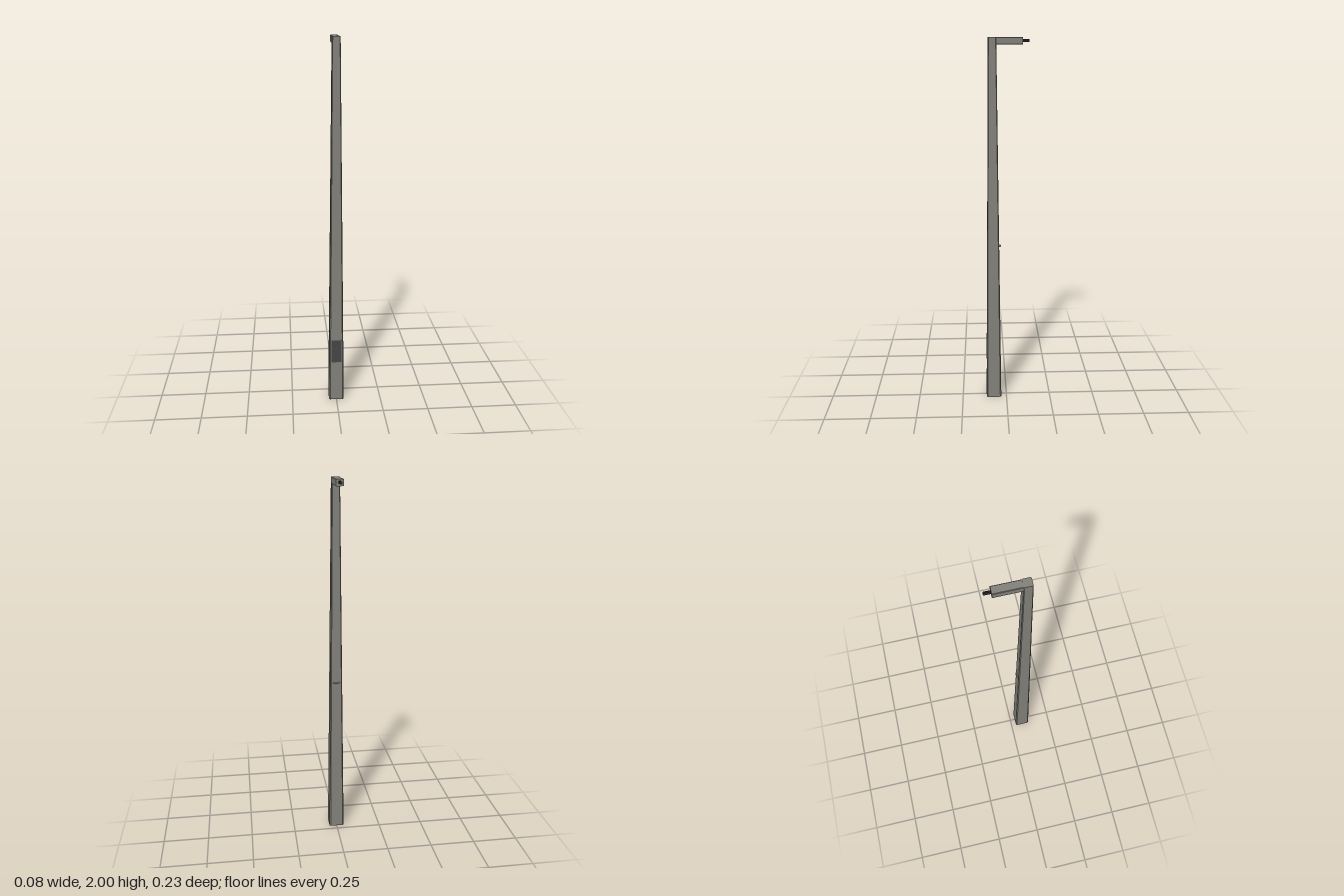
import * as THREE from 'three';

const material = (color) => new THREE.MeshStandardMaterial({ color, flatShading: true });

// Square bar with chamfered edges standing on y = 0, tapering from half-width a to b
function chamferedBar(a, b, chamfer, height) {
  const k = 1 - chamfer;
  const shape = new THREE.Shape(
    [[1, -k], [1, k], [k, 1], [-k, 1], [-1, k], [-1, -k], [-k, -1], [k, -1]]
      .map(([x, y]) => new THREE.Vector2(x, y))
  );
  const geo = new THREE.ExtrudeGeometry(shape, { depth: height, bevelEnabled: false });
  geo.rotateX(-Math.PI / 2);
  const p = geo.attributes.position;
  for (let i = 0; i < p.count; i++) {
    const s = THREE.MathUtils.lerp(a, b, p.getY(i) / height);
    p.setXYZ(i, p.getX(i) * s, p.getY(i), p.getZ(i) * s);
  }
  geo.computeVertexNormals();
  return geo;
}

export function createModel() {
  const group = new THREE.Group();
  const metal = material(0x83817a);
  const dark = material(0x2a2a2c);
  const base = 0.042, top = 0.021, poleZ = 0.072;
  const halfAt = (y) => base + (top - base) * y / 2;
  const lean = Math.atan((base - top) / 2);

  const add = (name, geo, mat, x, y, z) => {
    const mesh = new THREE.Mesh(geo, mat);
    mesh.name = name;
    mesh.position.set(x, y, z);
    group.add(mesh);
    return mesh;
  };

  // Tapered pole
  add('pole', chamferedBar(base, top, 0.15, 2), metal, 0, 0, poleZ);

  // Horizontal arm pointing backwards from the pole top
  const arm = chamferedBar(1, 1, 0.12, 0.15);
  arm.scale(0.02, 1, 0.0175);
  arm.rotateX(-Math.PI / 2);
  add('arm', arm, metal, 0, 1.982, 0.067);

  // Dark spigot at the arm end
  const spigot = new THREE.CylinderGeometry(0.008, 0.008, 0.044, 12);
  spigot.rotateX(Math.PI / 2);
  add('spigot', spigot, dark, 0, 1.983, -0.095);

  // Access door set on the leaning front face
  const doorY = 0.302;
  const door = add('accessDoor', new THREE.BoxGeometry(0.054, 0.134, 0.004),
    material(0x454645), 0, doorY, poleZ + halfAt(doorY));
  door.rotation.x = -lean;

  // Small curved loop on the back face
  const loopY = 0.9, loopZ = poleZ - halfAt(loopY);
  const curve = new THREE.QuadraticBezierCurve3(
    new THREE.Vector3(-0.017, 0, 0.002),
    new THREE.Vector3(0, 0, -0.016),
    new THREE.Vector3(0.017, 0, 0.002)
  );
  add('backLoop', new THREE.TubeGeometry(curve, 10, 0.004, 6), material(0xa5a5a0), 0, loopY, loopZ);

  return group;
}
